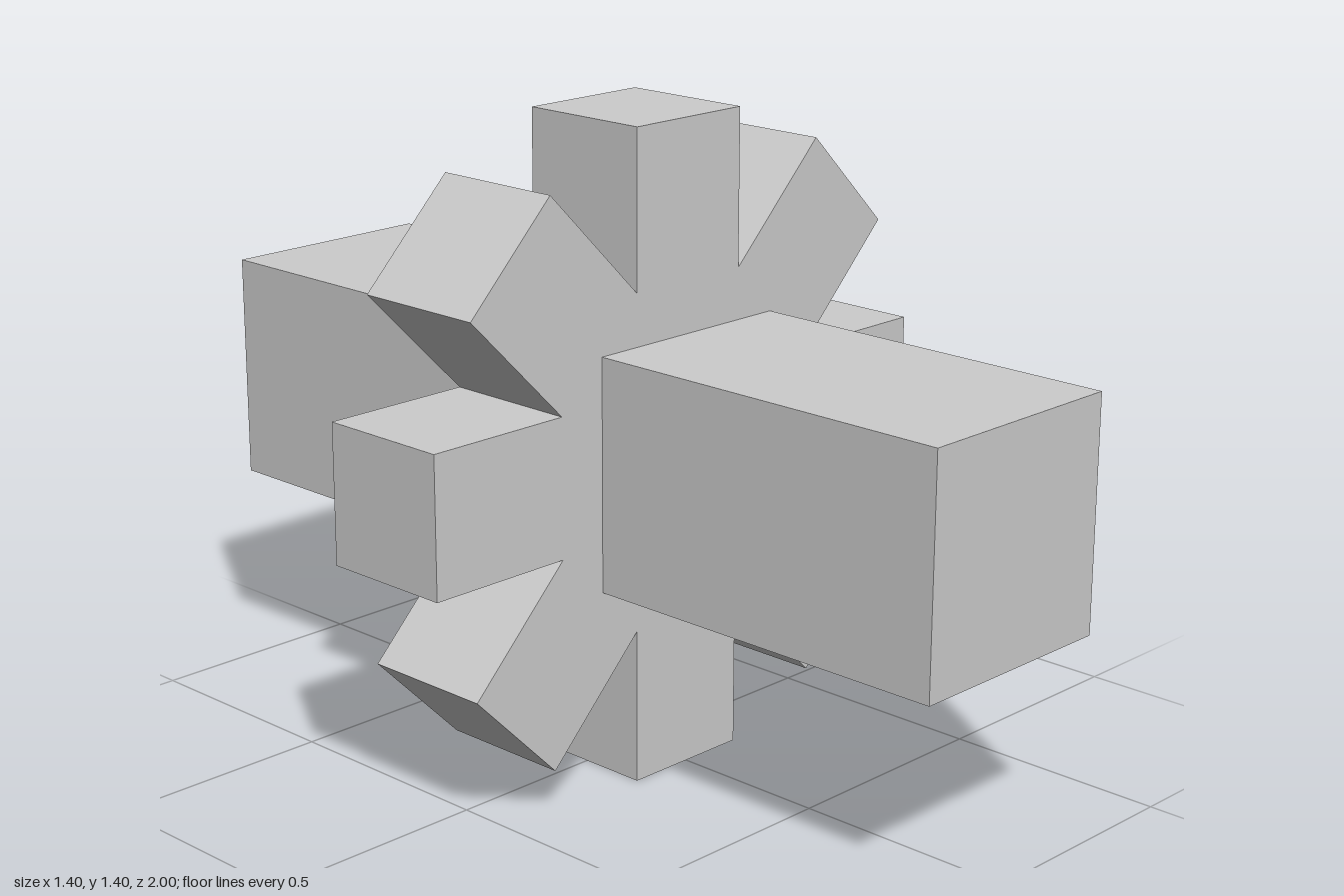
import * as THREE from 'three';

const ARMS = 8, REACH = 0.7, HALF = 0.15, DEPTH = 0.3, CENTRE_Y = 0.7;

// Star outline: eight square-ended arms meeting at inner notches
function starShape() {
  const step = (Math.PI * 2) / ARMS;
  const notch = HALF / Math.tan(step / 2);
  const points = [];
  for (let i = 0; i < ARMS; i++) {
    const arm = [[REACH, -HALF], [REACH, HALF], [notch, HALF]];
    for (const [x, y] of arm) {
      points.push(new THREE.Vector2(x, y).rotateAround(new THREE.Vector2(), i * step));
    }
  }
  return new THREE.Shape(points);
}

export function createModel() {
  const model = new THREE.Group();
  model.name = 'crossedBeams';
  const material = new THREE.MeshStandardMaterial({ color: 0xcccccc, flatShading: true });

  const add = (name, geometry) => {
    const mesh = new THREE.Mesh(geometry, material);
    mesh.name = name;
    mesh.position.y = CENTRE_Y;
    model.add(mesh);
  };

  // Radial arms, centred on z = 0
  const star = new THREE.ExtrudeGeometry(starShape(), { depth: DEPTH, bevelEnabled: false });
  star.translate(0, 0, -DEPTH / 2);
  add('radialArms', star);

  // Long square beam running front to back through the star
  add('centralBeam', new THREE.BoxGeometry(0.5, 0.5, 2));

  return model;
}
